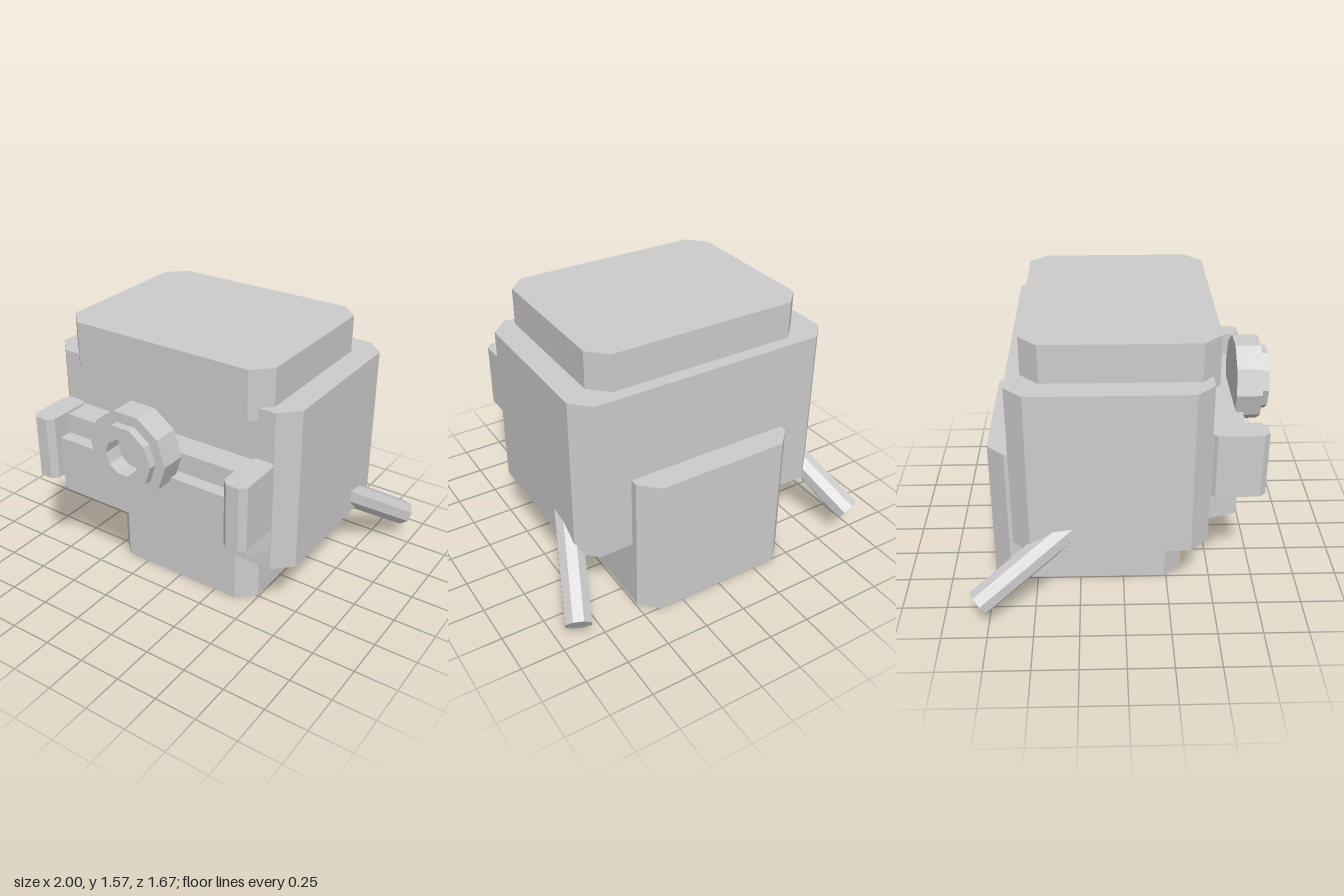
import * as THREE from 'three';

const grey = new THREE.MeshStandardMaterial({ color: 0xcccccc, flatShading: true });
grey.name = 'plainGrey';

// Upright block with cut vertical corners: cx by cz is the size of each cut
function block(name, x0, x1, y0, y1, z0, z1, cx, cz = cx) {
  const w = (x1 - x0) / 2, d = (z1 - z0) / 2;
  const outline = [
    [w - cx, -d], [w, -d + cz], [w, d - cz], [w - cx, d],
    [-w + cx, d], [-w, d - cz], [-w, -d + cz], [-w + cx, -d],
  ].map(([x, y]) => new THREE.Vector2(x, y));
  const geometry = new THREE.ExtrudeGeometry(new THREE.Shape(outline), { depth: y1 - y0, bevelEnabled: false });
  geometry.rotateX(-Math.PI / 2);
  const mesh = new THREE.Mesh(geometry, grey);
  mesh.name = name;
  mesh.position.set((x0 + x1) / 2, y0, (z0 + z1) / 2);
  return mesh;
}

// Ten-sided stepped knob with a recessed centre
function knob() {
  const profile = [
    [0, 0.64], [0.245, 0.64], [0.245, 0.785], [0.185, 0.785],
    [0.185, 0.83], [0.105, 0.83], [0.105, 0.73], [0, 0.73],
  ].map(([r, z]) => new THREE.Vector2(r, z));
  const geometry = new THREE.LatheGeometry(profile, 10, Math.PI / 2);
  geometry.rotateX(Math.PI / 2);
  const mesh = new THREE.Mesh(geometry, grey);
  mesh.name = 'frontKnob';
  mesh.position.y = 1.055;
  return mesh;
}

// Slanted rod running from inside the body down to the rear
function rod(name, side) {
  const tip = new THREE.Vector3(side * 0.926, 0.182, -0.79);
  const dir = new THREE.Vector3(side * 0.324, -0.543, -0.778).normalize();
  const length = 0.8;
  const mesh = new THREE.Mesh(new THREE.CylinderGeometry(0.077, 0.077, length, 8), grey);
  mesh.name = name;
  mesh.quaternion.setFromUnitVectors(new THREE.Vector3(0, 1, 0), dir);
  mesh.position.copy(tip).addScaledVector(dir, -length / 2);
  return mesh;
}

export function createModel() {
  const model = new THREE.Group();
  model.name = 'blockMachine';

  // Main stack
  model.add(
    block('base', -0.49, 0.49, 0, 0.84, -0.755, 0.34, 0.1),
    block('body', -0.79, 0.79, 0.405, 1.357, -0.61, 0.457, 0.1),
    block('topCap', -0.65, 0.65, 1.287, 1.57, -0.535, 0.497, 0.1),
  );

  // Front rail in two steps
  model.add(
    block('backRail', -0.682, 0.682, 0.54, 1.053, 0.3, 0.61, 0.05, 0.15),
    block('frontRail', -0.595, 0.595, 0.685, 0.935, 0.5, 0.685, 0.01),
    knob(),
  );

  // Paired end blocks and rods
  for (const [label, s] of [['left', 1], ['right', -1]]) {
    const c = s * 0.633;
    model.add(
      block(label + 'RailEnd', c - 0.07, c + 0.07, 0.692, 1.067, 0.45, 0.757, 0.033),
      rod(label + 'Rod', s),
    );
  }
  return model;
}
